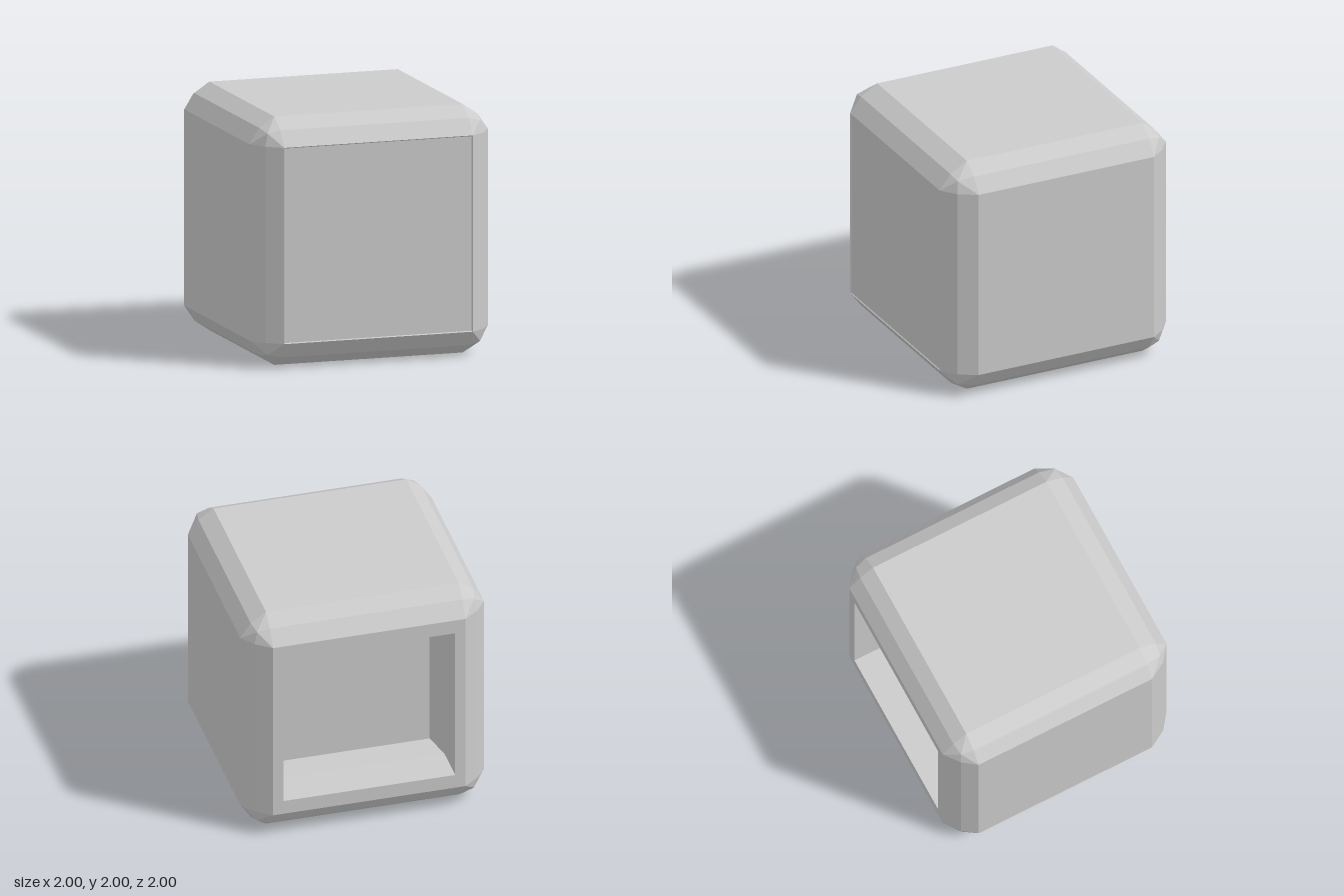
import * as THREE from 'three';

const material = new THREE.MeshStandardMaterial({ color: 0xcccccc, flatShading: true });

function meshFrom(points, name) {
  const geometry = new THREE.BufferGeometry().setFromPoints(points);
  geometry.computeVertexNormals();
  const mesh = new THREE.Mesh(geometry, material);
  mesh.name = name;
  return mesh;
}

// Cube shell with two-facet bevels, left open where the front and back panels sit
function bevelledShell() {
  const box = new THREE.BoxGeometry(2, 2, 2, 3, 3, 3);
  const index = box.index.array;
  const onEdge = (v) => v.toArray().filter((c) => Math.abs(c) > 0.9).length;
  const place = (v) => {
    const n = onEdge(v);
    const move = (c, isZ) => {
      const inner = isZ && c > 0 ? 0.76 : 0.79;
      const size = Math.abs(c) > 0.9 ? [1, isZ ? 0.905 : 0.915, 0.89][n - 1] : inner;
      return Math.sign(c) * size;
    };
    return new THREE.Vector3(move(v.x), move(v.y) + 1, move(v.z, true));
  };
  const points = [];
  for (let i = 0; i < index.length; i += 6) {
    const quad = [0, 1, 4, 2].map((k) =>
      new THREE.Vector3().fromBufferAttribute(box.attributes.position, index[i + k]));
    const [a, b, c, d] = quad.map(place);
    if (quad.every((v) => Math.abs(v.z) > 0.9 && onEdge(v) === 1)) continue;
    // Crease each corner patch towards the cube's corner
    const flip = onEdge(quad[0]) === 3 || onEdge(quad[2]) === 3;
    points.push(...(flip ? [a, b, c, a, c, d] : [a, b, d, b, c, d]));
  }
  return meshFrom(points, 'bevelledShell');
}

// Rectangular rings [halfWidth, halfHeight, z] joined in order and capped; facing is +1 or -1 in z
function steppedPanel(rings, facing, name) {
  const loops = rings.map(([w, h, z]) => [[-1, -1], [1, -1], [1, 1], [-1, 1]]
    .map(([x, y]) => new THREE.Vector3(x * w * facing, 1 + y * h, z)));
  const points = [];
  const quad = (a, b, c, d) => points.push(a, b, c, a, c, d);
  for (let i = 0; i + 1 < loops.length; i++) {
    const [outer, inner] = [loops[i], loops[i + 1]];
    for (let k = 0; k < 4; k++) {
      const next = (k + 1) % 4;
      quad(outer[k], outer[next], inner[next], inner[k]);
    }
  }
  quad(...loops[loops.length - 1]);
  return meshFrom(points, name);
}

export function createModel() {
  const group = new THREE.Group();
  group.name = 'bevelledCube';
  group.add(bevelledShell());
  // Front panel, set in by a hair
  group.add(steppedPanel([[0.79, 0.79, 1], [0.783, 0.783, 0.992]], 1, 'frontPanel'));
  // Back frame around a recess with a chamfered floor
  group.add(steppedPanel([
    [0.79, 0.79, -1],
    [0.705, 0.67, -1],
    [0.705, 0.67, -0.68],
    [0.61, 0.57, -0.585],
  ], -1, 'backRecess'));
  return group;
}
